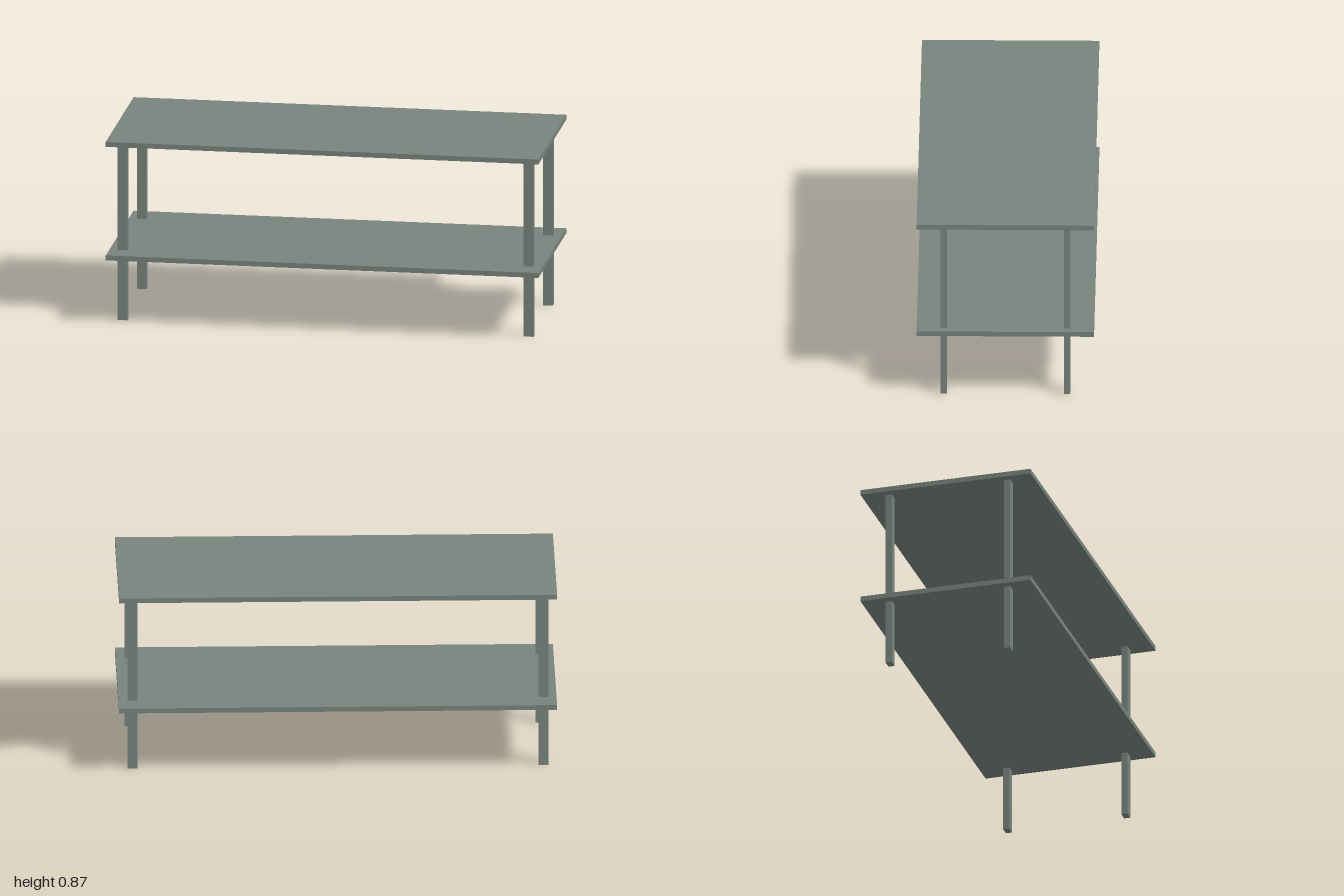
import * as THREE from 'three';

export function createModel() {
  const group = new THREE.Group();
  const paint = new THREE.MeshStandardMaterial({ color: 0x78847d });
  paint.name = 'grey green paint';

  function box(name, w, h, d, x, y, z) {
    const mesh = new THREE.Mesh(new THREE.BoxGeometry(w, h, d), paint);
    mesh.name = name;
    mesh.position.set(x, y, z);
    group.add(mesh);
  }

  // Two identical boards
  const thickness = 0.023, topY = 0.867, shelfY = 0.331;
  box('tableTop', 2, thickness, 0.81, 0, topY - thickness / 2, 0);
  box('lowerShelf', 2, thickness, 0.81, 0, shelfY - thickness / 2, 0);

  // Four rectangular legs, running through the shelf to the underside of the top
  const legHeight = topY - thickness;
  for (const [side, x] of [['Left', 0.937], ['Right', -0.94]]) {
    for (const [end, z] of [['front', 0.282], ['back', -0.281]]) {
      box(`${end}${side}Leg`, 0.045, legHeight, 0.029, x, legHeight / 2, z);
    }
  }
  return group;
}
